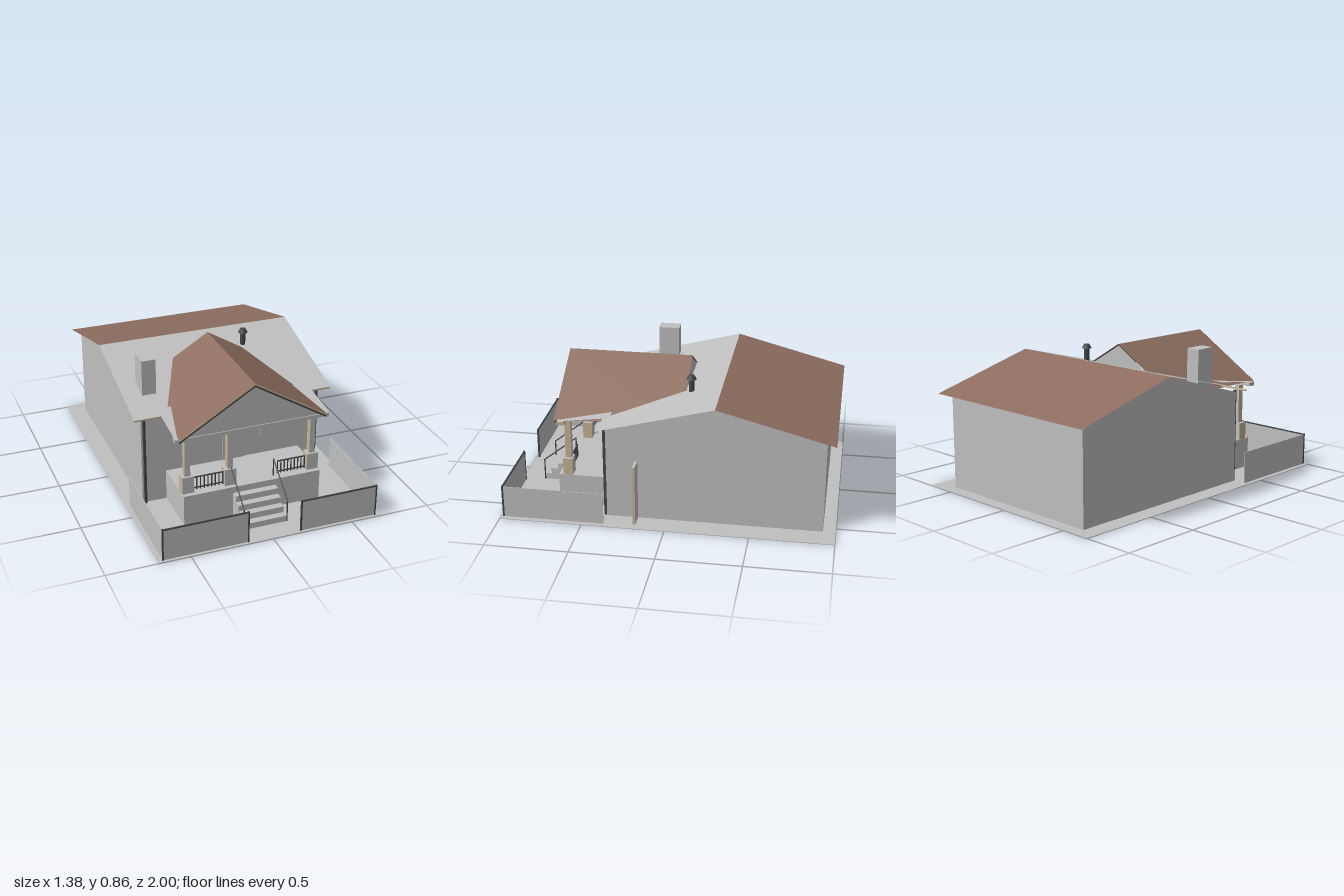
import * as THREE from 'three';

const flat = (name, color, side = THREE.FrontSide) => {
  const m = new THREE.MeshStandardMaterial({ color, side });
  m.name = name;
  return m;
};

export function createModel() {
  const model = new THREE.Group();
  model.name = 'house';
  const grey = flat('plaster grey', 0xc0c0c0, THREE.DoubleSide);
  const brown = flat('roof brown', 0x8e6e60, THREE.DoubleSide);
  const tan = flat('trim tan', 0xc6b594);
  const dark = flat('iron dark', 0x43474c);
  const tanSides = [tan, tan, grey, grey, grey, grey];

  const add = (name, geo, mat) => {
    const mesh = new THREE.Mesh(geo, mat);
    mesh.name = name;
    model.add(mesh);
    return mesh;
  };
  // Box given by its limits on each axis
  const box = (name, mat, x0, x1, y0, y1, z0, z1) => {
    const mesh = add(name, new THREE.BoxGeometry(x1 - x0, y1 - y0, z1 - z0), mat);
    mesh.position.set((x0 + x1) / 2, (y0 + y1) / 2, (z0 + z1) / 2);
    return mesh;
  };
  // Flat sheet through four corners, counter-clockwise from its outside
  const sheet = (name, mat, a, b, c, d) => {
    const geo = new THREE.BufferGeometry();
    geo.setAttribute('position', new THREE.Float32BufferAttribute([a, b, c, a, c, d].flat(), 3));
    geo.computeVertexNormals();
    return add(name, geo, mat);
  };
  // Straight round bar between two points
  const bar = (name, mat, a, b, r) => {
    const path = new THREE.LineCurve3(new THREE.Vector3(...a), new THREE.Vector3(...b));
    return add(name, new THREE.TubeGeometry(path, 1, r, 6), mat);
  };
  const polygon = (pts) => new THREE.Shape(pts.map((p) => new THREE.Vector2(...p)));

  // Ground slab
  box('ground', grey, -0.69, 0.69, 0, 0.004, -1, 1);

  // House body: gable profile swept along x
  const profile = polygon([[-0.37, 0.004], [0.925, 0.004], [0.925, 0.57], [0.28, 0.764], [-0.37, 0.57]]);
  const body = new THREE.ExtrudeGeometry(profile, { depth: 1.13, bevelEnabled: false });
  body.rotateY(Math.PI / 2).translate(-0.58, 0, 0);
  add('walls', body, grey);

  // Main roof
  const L = -0.63, R = 0.617, ridge = 0.77, eave = 0.588;
  sheet('roofFront', grey, [L, eave, 0.41], [R, eave, 0.41], [R, ridge, -0.285], [L, ridge, -0.285]);
  sheet('roofBack', brown, [R, eave, -0.98], [L, eave, -0.98], [L, ridge, -0.285], [R, ridge, -0.285]);
  box('eaveBoard', tan, L, R, 0.577, 0.587, 0.4, 0.41);

  // Chimney and roof vent
  box('chimney', grey, -0.517, -0.43, 0.62, 0.86, 0.087, 0.217);
  const pipe = add('ventPipe', new THREE.CylinderGeometry(0.017, 0.017, 0.11, 10), dark);
  pipe.position.set(0.247, 0.745, -0.097);
  const cap = add('ventCap', new THREE.CylinderGeometry(0.017, 0.031, 0.025, 10), dark);
  cap.position.set(0.247, 0.81, -0.097);

  // Porch roof: gable sheets, infills, rake boards and the low shed behind them
  const top = 0.85, low = 0.574, half = 0.455, front = 0.7, back = -0.065;
  sheet('porchRoofLeft', brown, [0, top, front], [half, low, front], [half, low, back], [0, top, back]);
  sheet('porchRoofRight', brown, [-half, low, front], [0, top, front], [0, top, back], [-half, low, back]);
  for (const [name, z] of [['porchGable', 0.683], ['porchGableBack', back + 0.004]]) {
    const tri = new THREE.ShapeGeometry(polygon([[-0.44, low], [0.44, low], [0, top - 0.01]]));
    add(name, tri, grey).position.z = z;
  }
  for (const s of [-1, 1]) {
    const rake = (drop, thick) => {
      const pts = [[0, top - drop], [s * half, low - drop], [s * half, low - drop - thick], [0, top - drop - thick]];
      return new THREE.ExtrudeGeometry(polygon(pts), { depth: 0.012, bevelEnabled: false });
    };
    add('rakeBoard', rake(0.001, 0.009), tan).position.z = 0.688;
    add('rakeTrim', rake(0.01, 0.012), dark).position.z = 0.686;
  }
  sheet('porchShed', grey, [-0.475, 0.572, 0.672], [0.48, 0.572, 0.672], [0.48, 0.614, 0.36], [-0.475, 0.614, 0.36]);
  box('porchBeam', tanSides, -0.475, 0.48, 0.547, 0.569, 0.635, 0.68);

  // Porch deck and steps
  box('deck', grey, -0.43, 0.43, 0.004, 0.195, 0.37, 0.69);
  for (let i = 0; i < 4; i++) {
    box('step', grey, -0.125, 0.143, 0.004, 0.155 - i * 0.038, 0.69 + i * 0.043, 0.69 + (i + 1) * 0.043);
  }

  // Posts on piers
  for (const x of [-0.393, -0.13, 0.393]) {
    box('pier', tanSides, x - 0.036, x + 0.036, 0.195, 0.302, 0.604, 0.663);
    box('post', tanSides, x - 0.017, x + 0.017, 0.302, 0.547, 0.612, 0.65);
  }

  // Porch railings
  for (const [x0, x1] of [[-0.357, -0.166], [0.176, 0.357]]) {
    for (const y of [0.208, 0.278]) box('railing', dark, x0, x1, y - 0.003, y + 0.003, 0.63, 0.637);
    for (let i = 0; i <= 8; i++) {
      const x = x0 + 0.003 + (x1 - x0 - 0.006) * i / 8;
      box('baluster', dark, x - 0.003, x + 0.003, 0.195, 0.28, 0.631, 0.636);
    }
  }

  // Stair handrails
  for (const x of [-0.125, 0.146]) {
    bar('handrail', dark, [x, 0.14, 0.86], [x, 0.31, 0.645], 0.004);
    bar('handrailPost', dark, [x, 0.004, 0.86], [x, 0.142, 0.86], 0.004);
    bar('handrailPost', dark, [x, 0.195, 0.65], [x, 0.308, 0.65], 0.004);
  }

  // Door, windows and porch lamp
  box('door', grey, -0.07, 0.07, 0.195, 0.49, 0.37, 0.376);
  box('window', grey, -0.375, -0.15, 0.315, 0.51, 0.37, 0.376);
  box('window', grey, 0.18, 0.38, 0.315, 0.51, 0.37, 0.376);
  box('lamp', tan, -0.011, 0.011, 0.5, 0.527, 0.37, 0.405);

  // Downpipes
  for (const x of [-0.563, 0.538]) box('downpipe', dark, x - 0.007, x + 0.007, 0.004, 0.577, 0.372, 0.388);

  // Side gate
  box('sideGate', tanSides, 0.55, 0.64, 0.004, 0.38, 0.18, 0.196);

  // Front fence panels with iron trim, and side fences
  for (const [x0, x1] of [[-0.66, -0.147], [0.18, 0.657]]) {
    box('fencePanel', grey, x0, x1, 0.004, 0.2, 0.979, 0.983);
    box('fenceRail', dark, x0, x1, 0.198, 0.205, 0.977, 0.986);
    for (const x of [x0, x1]) box('fencePost', dark, x - 0.004, x + 0.004, 0.004, 0.207, 0.976, 0.987);
  }
  for (const x of [-0.66, 0.657]) box('sideFence', grey, x - 0.002, x + 0.002, 0.004, 0.202, 0.37, 0.978);

  return model;
}
